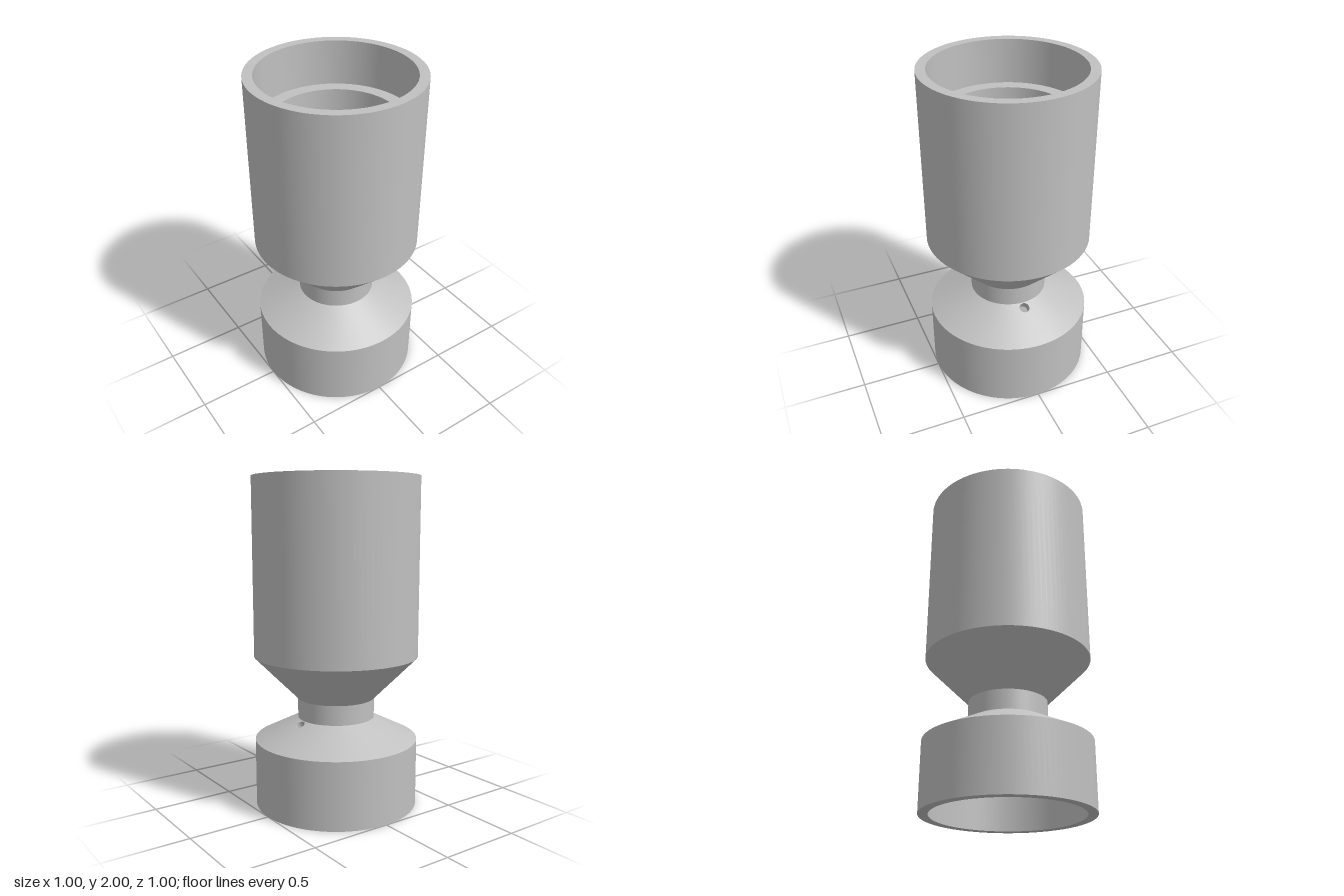
import * as THREE from 'three';

const SIDES = 96;
const HALF = 0.24; // half angle of the patch that carries the drilled hole

const metal = new THREE.MeshStandardMaterial({ color: 0xc0c0c0, side: THREE.DoubleSide });
metal.name = 'light grey';

// profile corners [radius, height]
const bevelLow = [0.5, 0.413], bevelTop = [0.235, 0.545];
const domeLow = [0.443, 0.27], domeTop = [0.18, 0.545];

// one band of revolution; separate bands keep the edges sharp
function band(name, a, b, open = false) {
  const start = open ? Math.PI / 2 + HALF : 0;
  const sweep = Math.PI * 2 - (open ? 2 * HALF : 0);
  const geo = new THREE.LatheGeometry([a, b].map(p => new THREE.Vector2(...p)), SIDES, start, sweep);
  const mesh = new THREE.Mesh(geo, metal);
  mesh.name = name;
  return mesh;
}

// surface through a list of rings, each a closed loop of points
function loft(name, rings) {
  const n = rings[0].length, index = [];
  for (let i = 0; i < rings.length - 1; i++) {
    for (let k = 0; k < n; k++) {
      const a = i * n + k, b = i * n + (k + 1) % n;
      index.push(a, a + n, b, b, a + n, b + n);
    }
  }
  const geo = new THREE.BufferGeometry().setFromPoints(rings.flat());
  geo.setIndex(index);
  geo.computeVertexNormals();
  const mesh = new THREE.Mesh(geo, metal);
  mesh.name = name;
  return mesh;
}

// drilled hole, square to the bevel, on the +x side
const N = 64;
const axis = new THREE.Vector3(0.446, 0.895, 0).normalize();
const centre = new THREE.Vector3(0.268, 0.5286, 0);
const along = new THREE.Vector3(-axis.y, axis.x, 0);

// where the hole wall meets the cone from a to b
function holeRing(a, b) {
  const height = p => p.y - a[1] - (Math.hypot(p.x, p.z) - a[0]) * (b[1] - a[1]) / (b[0] - a[0]);
  return Array.from({ length: N }, (_, k) => {
    const t = k / N * Math.PI * 2;
    const p = centre.clone().addScaledVector(along, 0.031 * Math.cos(t));
    p.z += 0.031 * Math.sin(t);
    let lo = -0.12, hi = 0.04;
    for (let i = 0; i < 30; i++) {
      const mid = (lo + hi) / 2;
      if (height(p.clone().addScaledVector(axis, mid)) > 0) hi = mid; else lo = mid;
    }
    return p.addScaledVector(axis, lo);
  });
}

// patch of the cone between the hole and the gap left in the band
function holePatch(name, a, b, ring) {
  const rings = [0, 0.25, 0.5, 0.75, 1].map(f => ring.map((p, k) => {
    const t = k / N * Math.PI * 2, c = Math.cos(t), d = Math.sin(t);
    const m = Math.max(Math.abs(c), Math.abs(d));
    const s = THREE.MathUtils.lerp((p.y - a[1]) / (b[1] - a[1]), (c / m + 1) / 2, f);
    const phi = THREE.MathUtils.lerp(Math.atan2(p.z, p.x), d / m * HALF, f);
    const r = a[0] + (b[0] - a[0]) * s;
    return new THREE.Vector3(r * Math.cos(phi), a[1] + (b[1] - a[1]) * s, r * Math.sin(phi));
  }));
  return loft(name, rings);
}

export function createModel() {
  const model = new THREE.Group();
  model.name = 'hollowCoupling';

  // outside, from the bottom up
  model.add(
    band('lowerCollar', [0.5, 0], bevelLow),
    band('lowerBevel', bevelLow, bevelTop, true),
    band('neck', bevelTop, [0.235, 0.665]),
    band('upperCone', [0.235, 0.665], [0.5, 0.93]),
    band('upperBarrel', [0.5, 0.93], [0.5, 2]),
    band('topRim', [0.5, 2], [0.443, 2]),
  );

  // inside, from the top down
  model.add(
    band('topSocket', [0.443, 2], [0.443, 1.73]),
    band('socketLedge', [0.443, 1.73], [0.363, 1.73]),
    band('bore', [0.363, 1.73], [0.363, 0.93]),
    band('funnel', [0.363, 0.93], [0.18, 0.7]),
    band('throat', [0.18, 0.7], domeTop),
    band('lowerFunnel', domeTop, domeLow, true),
    band('bottomSocket', domeLow, [0.443, 0]),
    band('bottomRim', [0.443, 0], [0.5, 0]),
  );

  // small vent hole through the bevel
  const outer = holeRing(bevelLow, bevelTop);
  const inner = holeRing(domeLow, domeTop);
  model.add(
    holePatch('bevelPatch', bevelLow, bevelTop, outer),
    holePatch('funnelPatch', domeLow, domeTop, inner),
    loft('ventHole', [outer, inner]),
  );
  return model;
}
